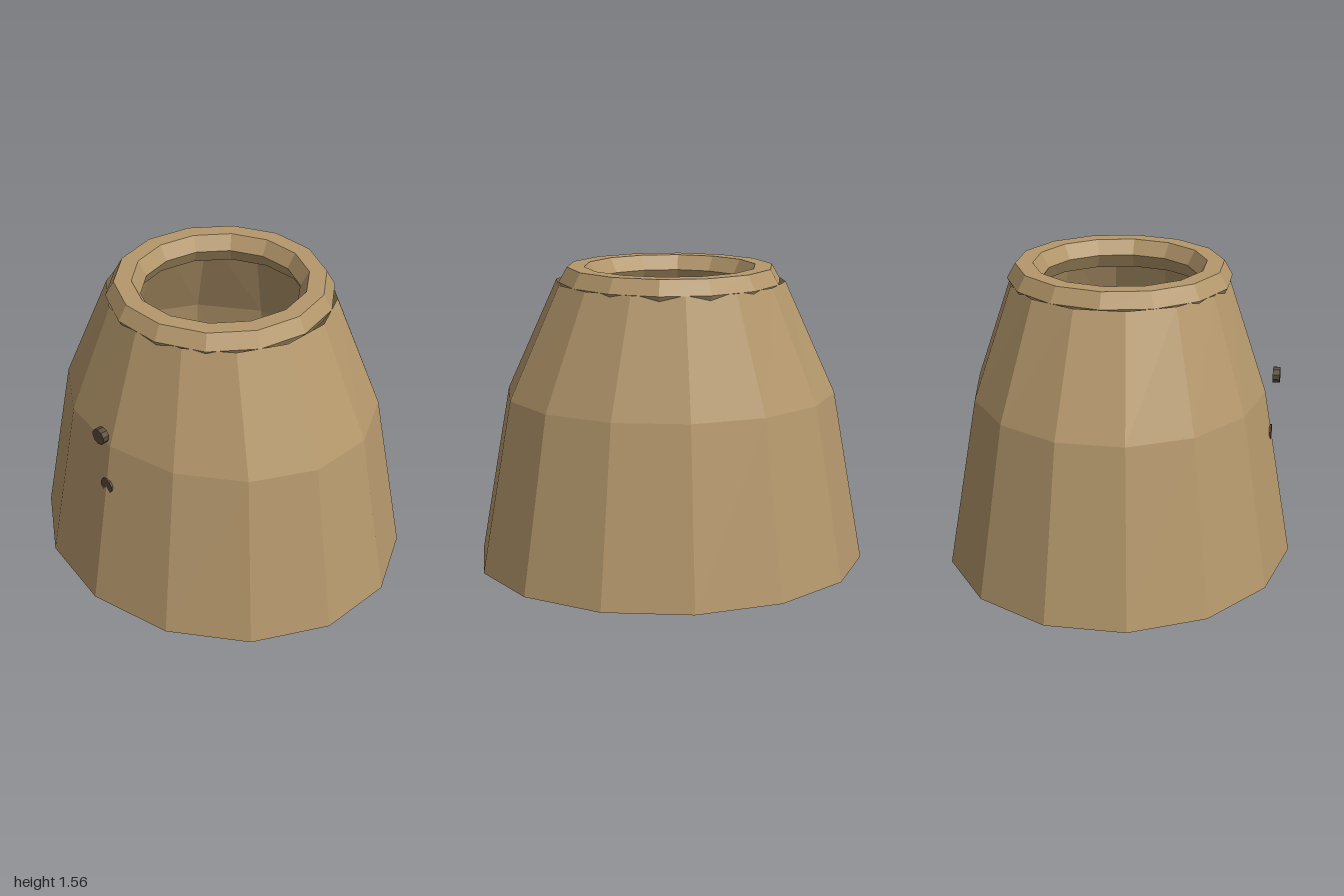
import * as THREE from 'three';

export function createModel() {
  const group = new THREE.Group();
  const tan = new THREE.MeshStandardMaterial({ color: 0xb5986c, flatShading: true, side: THREE.DoubleSide });
  const dark = new THREE.MeshStandardMaterial({ color: 0x5a4a38, flatShading: true });

  const add = (name, geometry, material, x = 0, y = 0, z = 0) => {
    const mesh = new THREE.Mesh(geometry, material);
    mesh.name = name;
    mesh.position.set(x, y, z);
    group.add(mesh);
  };

  // Open, tapering body: oval rings from the hem to the neck
  const rings = [
    { y: 1.48, rx: 0.595, rz: 0.565 },
    { y: 0.9, rx: 0.862, rz: 0.76 },
    { y: 0, rx: 1.026, rz: 0.917 },
  ];
  const body = new THREE.CylinderGeometry(1, 1, 2, 14, rings.length - 1, true);
  const p = body.attributes.position;
  for (let i = 0; i < p.count; i++) {
    const r = rings[Math.round(1 - p.getY(i))];
    p.setXYZ(i, p.getX(i) * r.rx, r.y, p.getZ(i) * r.rz);
  }
  body.computeVertexNormals();
  add('body', body, tan);

  // Faceted collar around the neck opening
  const collar = new THREE.TorusGeometry(0.488, 0.088, 6, 14);
  collar.rotateX(Math.PI / 2);
  add('collar', collar, tan, 0, 1.48, 0);

  // Row of buttons down the front; the lower ones sink into the body
  const button = new THREE.CylinderGeometry(0.042, 0.042, 0.036, 10);
  button.rotateX(Math.PI / 2);
  [[0.995, 0.814], [0.675, 0.782], [0.355, 0.75]].forEach(([y, z], i) =>
    add('button' + (i + 1), button, dark, 0, y, z));

  return group;
}
